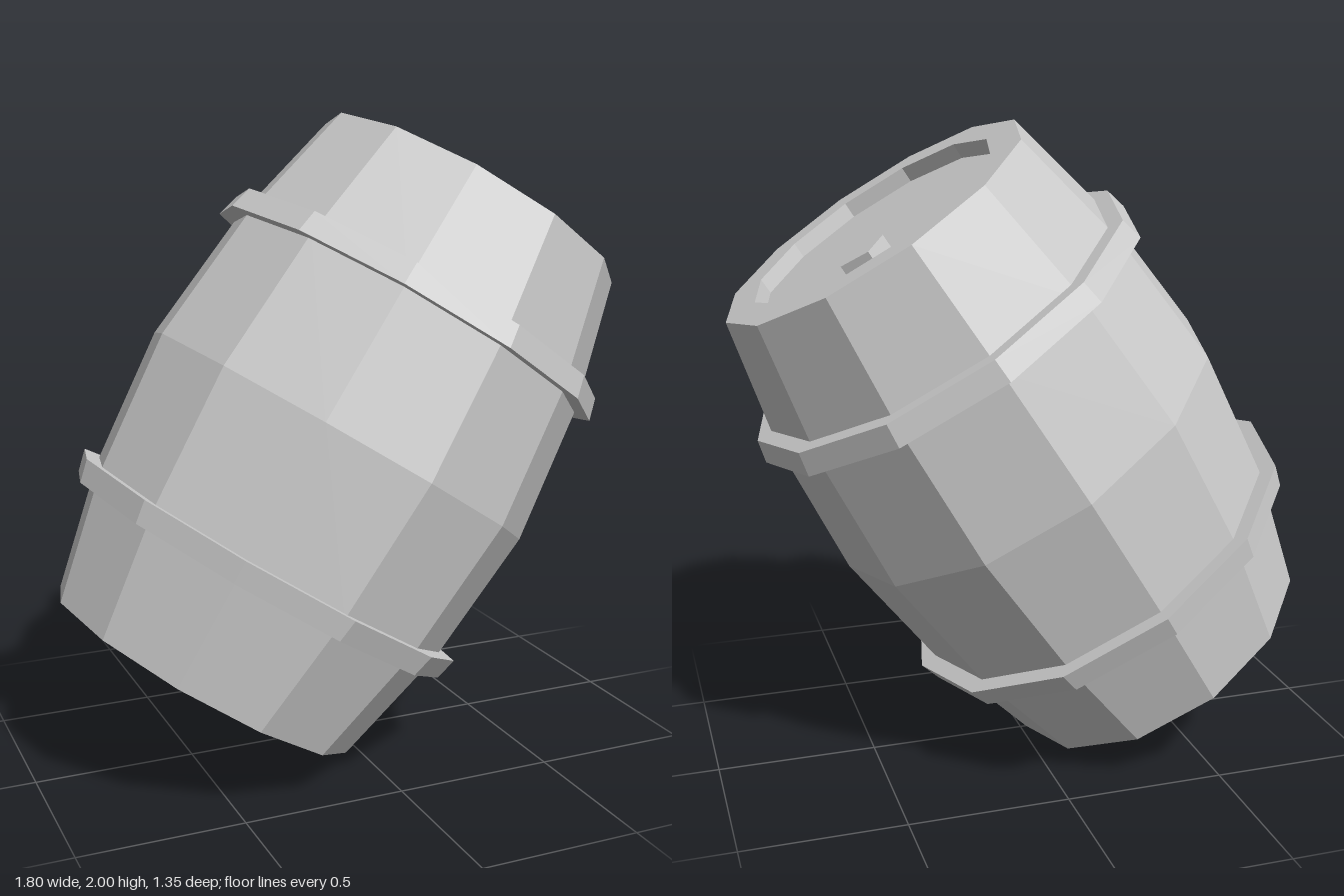
import * as THREE from 'three';

const SIDES = 12;

export function createModel() {
  const model = new THREE.Group();
  const material = new THREE.MeshStandardMaterial({ color: 0xcccccc, flatShading: true });

  // Everything is built upright around the origin, then tilted as one.
  const barrel = new THREE.Group();
  barrel.name = 'barrel';
  barrel.position.y = 1;
  barrel.rotation.z = -0.57;
  model.add(barrel);

  const add = (name, geometry) => {
    const mesh = new THREE.Mesh(geometry, material);
    mesh.name = name;
    barrel.add(mesh);
    return mesh;
  };
  const lathe = (points) =>
    new THREE.LatheGeometry(points.map(([r, y]) => new THREE.Vector2(r, y)), SIDES);
  const flip = (points) => points.map(([r, y]) => [r, -y]).reverse();

  // Bulging body with a recessed lid at each end
  const upperHalf = [[0.62, 0.45], [0.523, 0.852], [0.42, 0.852], [0.42, 0.802], [0, 0.802]];
  add('body', lathe([...flip(upperHalf), [0.667, 0], ...upperHalf]));

  // Two hoops that taper with the body
  const hoop = [[0.59, 0.434], [0.676, 0.434], [0.657, 0.505], [0.59, 0.505]];
  add('upperHoop', lathe(hoop));
  add('lowerHoop', lathe(flip(hoop)));

  // Five-sided bung on the upper lid
  const bung = add('bung', new THREE.CylinderGeometry(0.08, 0.08, 0.055, 5));
  bung.position.set(0.097, 0.82, -0.205);
  bung.rotation.y = Math.PI + 0.15;

  return model;
}
